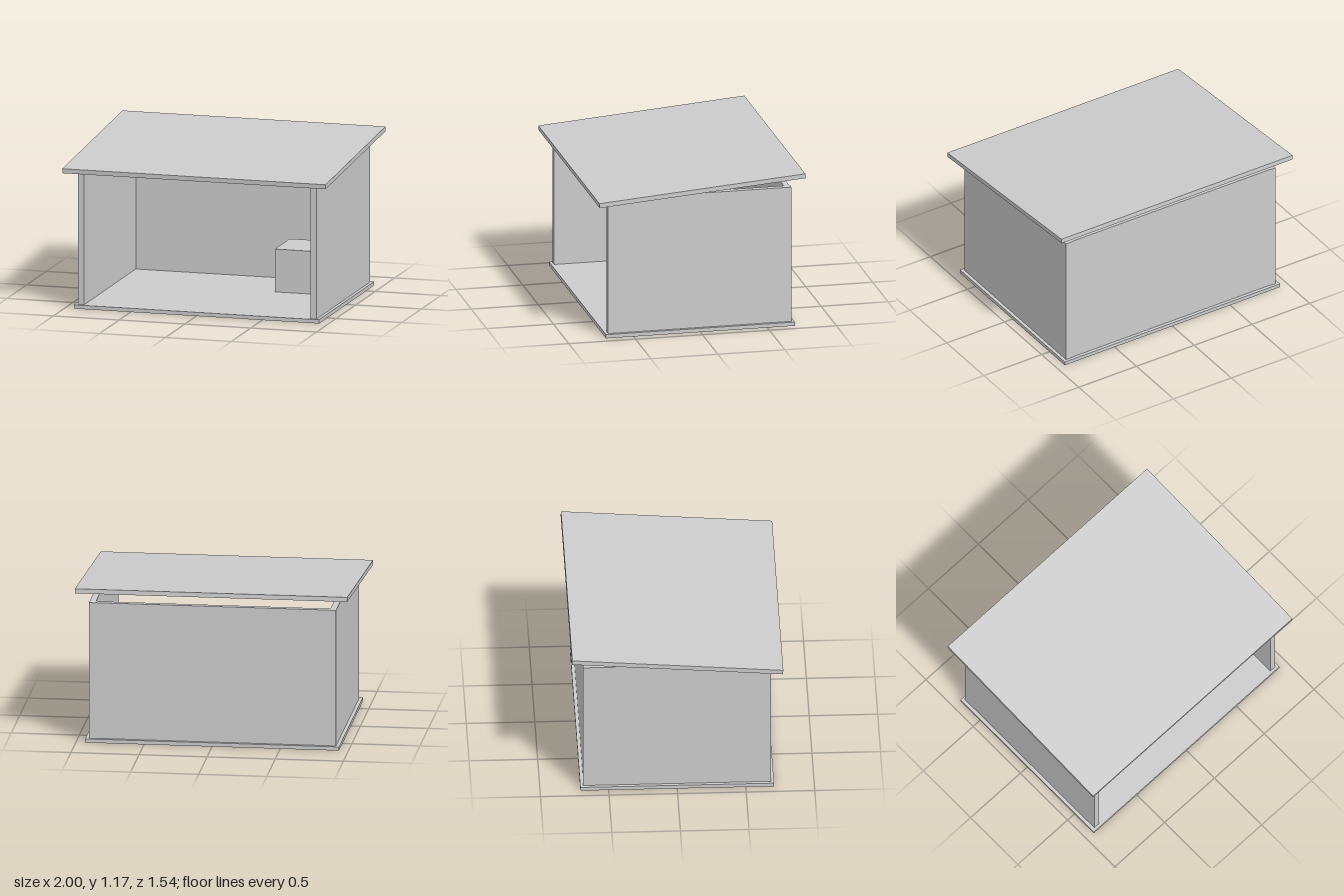
import * as THREE from 'three';

export function createModel() {
  const model = new THREE.Group();
  model.name = 'shelter';

  const grey = new THREE.MeshStandardMaterial({ color: 0xcccccc });
  grey.name = 'plain grey';

  // Adds a box from its minimum and maximum corners
  const addBox = (name, [x0, y0, z0], [x1, y1, z1]) => {
    const mesh = new THREE.Mesh(new THREE.BoxGeometry(x1 - x0, y1 - y0, z1 - z0), grey);
    mesh.position.set((x0 + x1) / 2, (y0 + y1) / 2, (z0 + z1) / 2);
    mesh.name = name;
    model.add(mesh);
    return mesh;
  };

  const floorTop = 0.028, wallTop = 1.05;
  const wallOuter = 0.907, wallInner = 0.86, wallBack = -0.685;

  // Floor slab, slightly wider than the walls
  addBox('floor', [-0.932, 0, -0.706], [0.932, floorTop, 0.706]);

  // Side walls, mirrored
  for (const [name, side] of [['leftWall', 1], ['rightWall', -1]]) {
    const wall = addBox(name, [wallInner, floorTop, wallBack], [wallOuter, wallTop, 0.685]);
    wall.position.x *= side;
  }

  // Back wall between the sides; the front stays open
  addBox('backWall', [-wallInner, floorTop, wallBack + 0.004], [wallInner, wallTop, wallBack + 0.047]);

  // Storage box in the back corner
  addBox('storageBox', [0.342, floorTop, -0.53], [0.748, 0.347, -0.15]);

  // Single-pitch roof sloping down to the front
  const roof = addBox('roof', [-1, 1.078, -0.772], [1, 1.112, 0.772]);
  roof.rotation.x = 0.08;

  return model;
}
